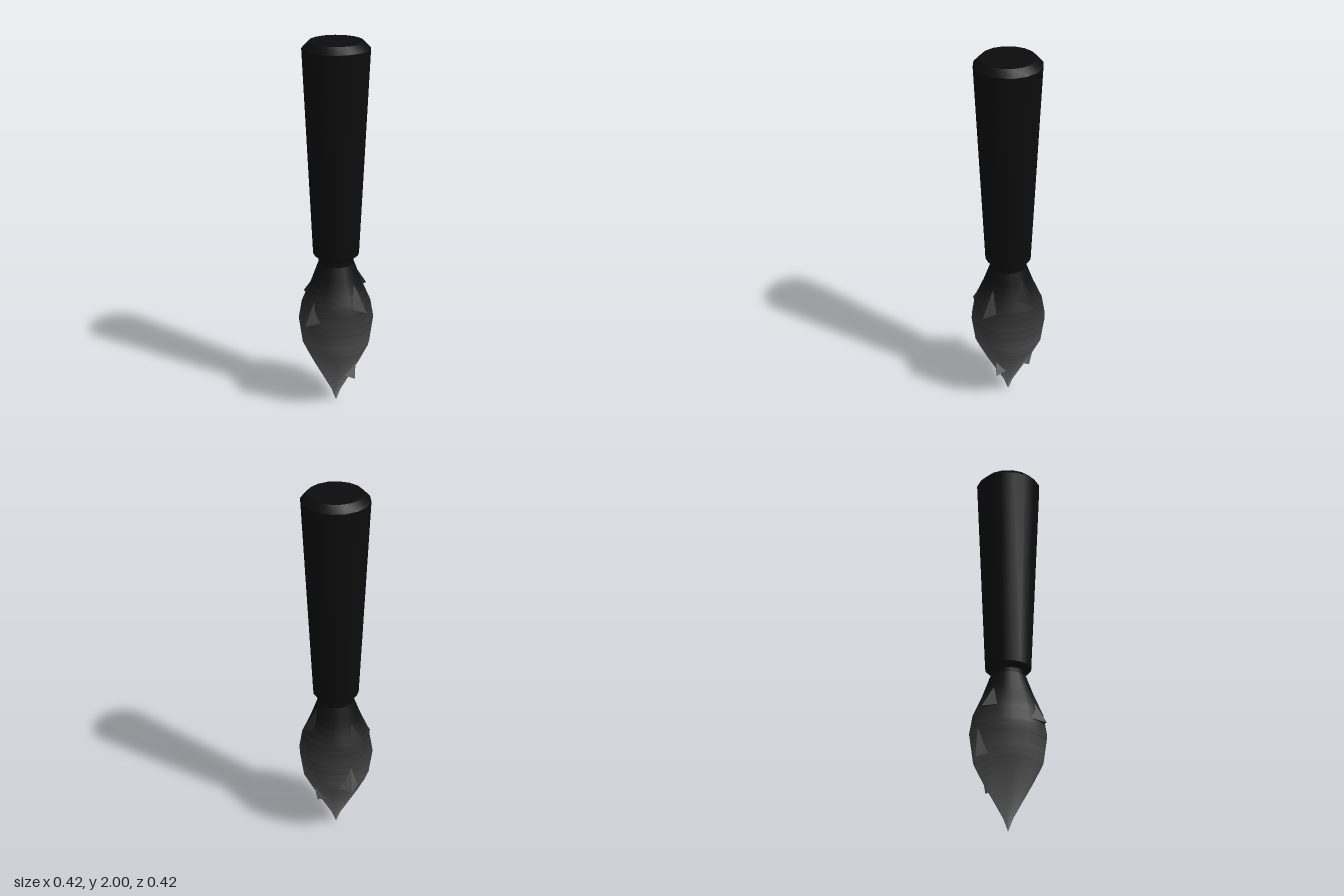
import * as THREE from 'three';
import { toCreasedNormals } from 'three/addons/utils/BufferGeometryUtils.js';

const SIDES = 16;
const AXIS_X = 0.012;

// Bristle outline as [radius, height], from tip to neck
const bristleOutline = [
  [0, 0], [0.026, 0.07], [0.075, 0.16], [0.13, 0.26], [0.18, 0.36], [0.2, 0.5],
  [0.183, 0.6], [0.135, 0.71], [0.095, 0.82],
];

function bristleRadius(y) {
  const i = Math.max(1, bristleOutline.findIndex((p) => p[1] >= y));
  const [r0, y0] = bristleOutline[i - 1];
  const [r1, y1] = bristleOutline[i];
  return THREE.MathUtils.mapLinear(y, y0, y1, r0, r1);
}

// Pale at the tip, fading to black at the neck
function bristleMaterial(y) {
  const tone = THREE.MathUtils.lerp(0.58, 0.06, Math.min(1, y / 0.75));
  const color = new THREE.Color().setRGB(tone, tone, tone, THREE.SRGBColorSpace);
  return new THREE.MeshStandardMaterial({ color, side: THREE.DoubleSide });
}

function makeHandle() {
  const profile = [
    [0, 0.8], [0.092, 0.8], [0.092, 0.845], [0.121, 0.87],
    [0.174, 1.965], [0.14, 2], [0, 2],
  ].map(([r, y]) => new THREE.Vector2(r, y));
  const geometry = toCreasedNormals(new THREE.LatheGeometry(profile, SIDES), 0.6);
  const mesh = new THREE.Mesh(geometry, new THREE.MeshStandardMaterial({ color: 0x0c0c0c }));
  mesh.name = 'handle';
  return mesh;
}

function makeBristles() {
  // Each outline span is split in three so the tone fades in narrow bands
  const points = [];
  bristleOutline.forEach(([r, y], i) => {
    const next = bristleOutline[i + 1];
    for (let k = 0; k < (next ? 3 : 1); k++) {
      const a = new THREE.Vector2(r, y);
      points.push(next ? a.lerp(new THREE.Vector2(...next), k / 3) : a);
    }
  });
  const geometry = new THREE.LatheGeometry(points, SIDES);

  // Regroup the faces ring by ring, one tone per ring
  const rings = points.length - 1;
  const source = geometry.index.array;
  const index = [];
  const materials = [];
  for (let j = 0; j < rings; j++) {
    for (let i = 0; i < SIDES; i++) {
      const start = (i * rings + j) * 6;
      index.push(...source.slice(start, start + 6));
    }
    geometry.addGroup(j * SIDES * 6, SIDES * 6, j);
    materials.push(bristleMaterial((points[j].y + points[j + 1].y) / 2));
  }
  geometry.setIndex(index);
  const mesh = new THREE.Mesh(geometry, materials);
  mesh.name = 'bristles';
  return mesh;
}

// A pointed lock of hair: rooted in the bristles above, its tip standing clear
function makeTuft(x, y, z, length, spread) {
  const angle = Math.atan2(x, z);
  const onSurface = (a, h) => {
    const r = bristleRadius(h) * 0.98;
    return new THREE.Vector3(r * Math.sin(a), h, r * Math.cos(a));
  };
  const root = onSurface(angle, y + length);
  const left = onSurface(angle - spread, y + 0.02);
  const right = onSurface(angle + spread, y + 0.02);
  const tip = new THREE.Vector3(x, y, z);
  const geometry = new THREE.BufferGeometry().setFromPoints([
    root, left, tip, root, tip, right, tip, left, right,
  ]);
  geometry.computeVertexNormals();
  const mesh = new THREE.Mesh(geometry, bristleMaterial(y));
  mesh.name = 'tuft';
  return mesh;
}

export function createModel() {
  const brush = new THREE.Group();
  brush.name = 'paintbrush';
  brush.add(makeHandle(), makeBristles());

  // Stray tufts: tip x, y, z (from the brush axis), length, angular spread
  const tufts = [
    [-0.222, 0.52, 0.09, 0.14, 0.3],
    [0.188, 0.66, -0.02, 0.13, 0.35],
    [0.08, 0.59, 0.21, 0.14, 0.3],
    [-0.094, 0.59, -0.212, 0.14, 0.3],
    [-0.03, 0.34, -0.207, 0.16, 0.35],
    [0.06, 0.165, 0.11, 0.1, 0.4],
    [0.122, 0.22, -0.06, 0.1, 0.4],
  ];
  for (const t of tufts) brush.add(makeTuft(...t));

  for (const part of brush.children) part.position.x = AXIS_X;
  return brush;
}
